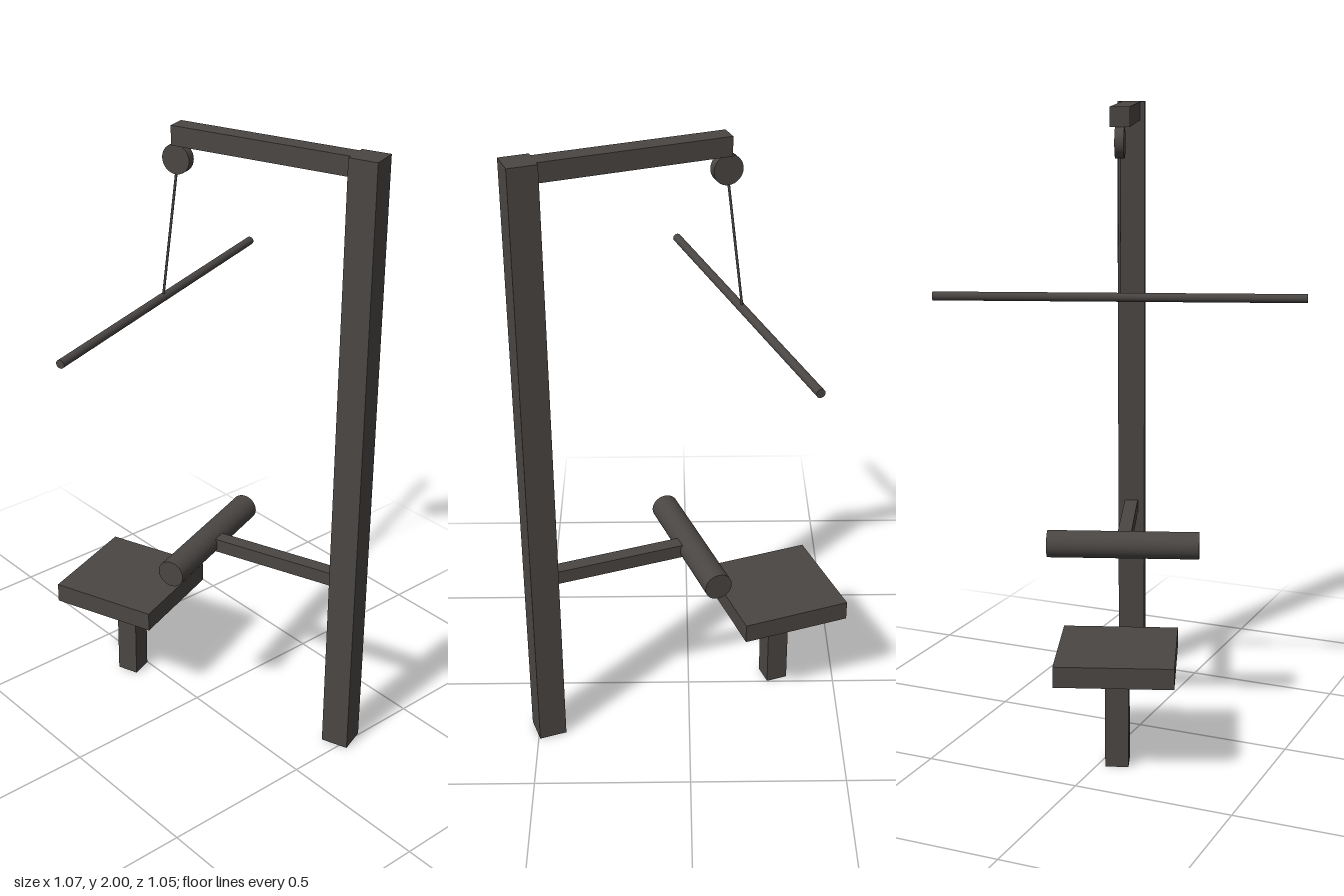
import * as THREE from 'three';

export function createModel() {
  const model = new THREE.Group();
  const steel = new THREE.MeshStandardMaterial({ color: 0x4a4644 });
  steel.name = 'dark steel';

  // The whole machine stands turned 20 degrees, on its own centre line
  const machine = new THREE.Group();
  machine.name = 'pulldownMachine';
  machine.rotation.y = THREE.MathUtils.degToRad(20);
  model.add(machine);
  const cx = 0.055;

  const add = (name, geometry, y, z) => {
    const mesh = new THREE.Mesh(geometry, steel);
    mesh.name = name;
    mesh.position.set(cx, y, z);
    machine.add(mesh);
    return mesh;
  };
  // Box given by its width and its y and z ranges
  const box = (name, w, y0, y1, z0, z1) =>
    add(name, new THREE.BoxGeometry(w, y1 - y0, z1 - z0), (y0 + y1) / 2, (z0 + z1) / 2);
  // Cylinder lying across the machine
  const roller = (name, r, length, y, z) =>
    add(name, new THREE.CylinderGeometry(r, r, length, 32).rotateZ(Math.PI / 2), y, z);

  // Frame
  box('upright', 0.09, 0, 2, 0.473, 0.563);
  box('topArm', 0.06, 1.94, 2, -0.103, 0.473);

  // Seat
  box('seat', 0.362, 0.315, 0.38, -0.474, -0.112);
  box('seatPost', 0.072, 0, 0.315, -0.329, -0.257);

  // Thigh pad
  box('padArm', 0.045, 0.591, 0.636, 0.013, 0.473);
  roller('thighPad', 0.044, 0.49, 0.613, 0.013);

  // Pulley, cable and pull bar
  roller('pulley', 0.046, 0.028, 1.894, -0.097);
  roller('pullBar', 0.0135, 1.13, 1.439, -0.153);
  const top = new THREE.Vector3(0, 1.894, -0.097);
  const bottom = new THREE.Vector3(0, 1.439, -0.153);
  const span = top.clone().sub(bottom);
  const cable = add('cable', new THREE.CylinderGeometry(0.004, 0.004, span.length(), 10),
    (top.y + bottom.y) / 2, (top.z + bottom.z) / 2);
  cable.quaternion.setFromUnitVectors(new THREE.Vector3(0, 1, 0), span.normalize());

  return model;
}
